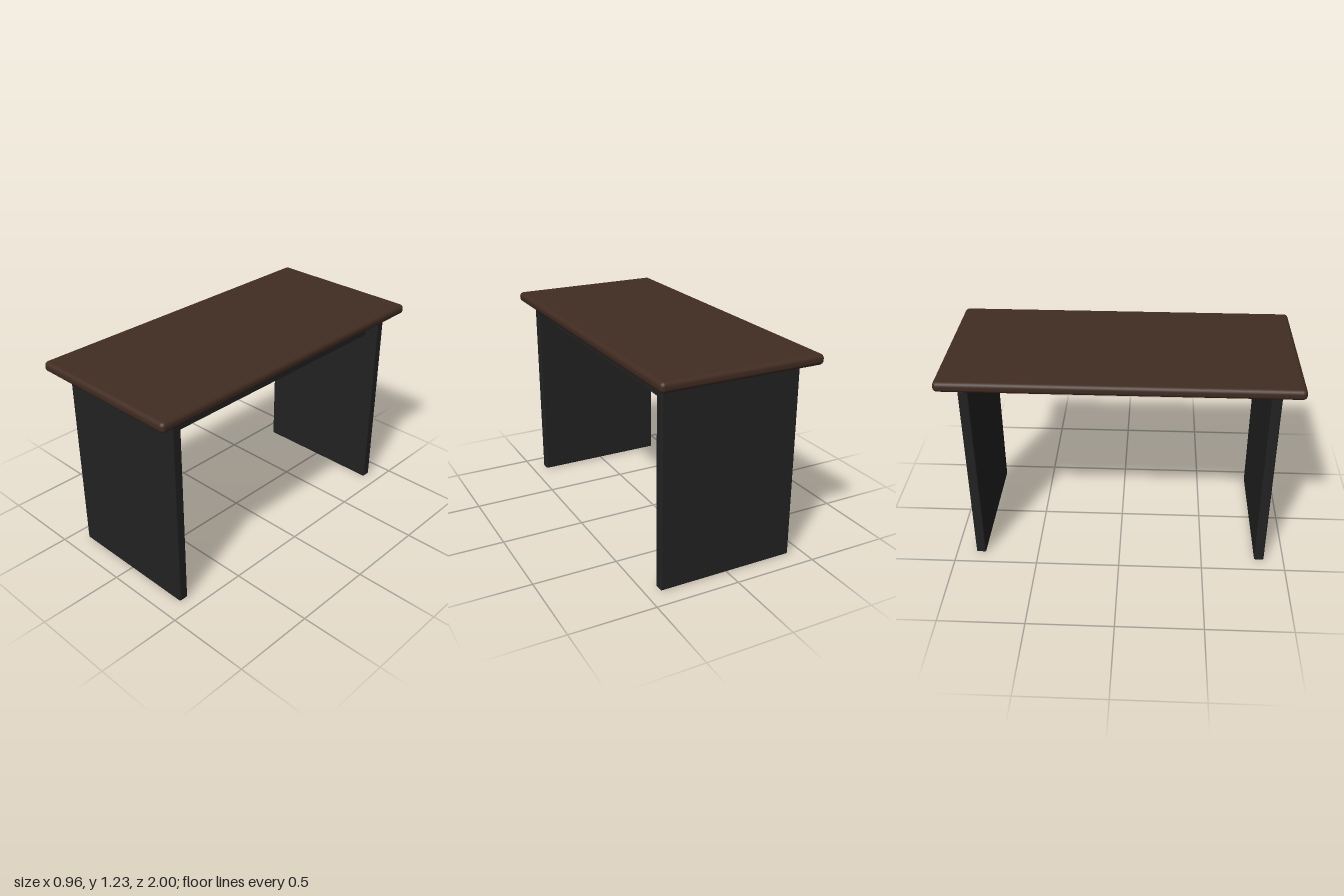
import * as THREE from 'three';
import { RoundedBoxGeometry } from 'three/addons/geometries/RoundedBoxGeometry.js';

export function createModel() {
  const model = new THREE.Group();
  model.name = 'desk';

  const wood = new THREE.MeshStandardMaterial({ color: 0x412c22 });
  wood.name = 'dark brown wood';
  const black = new THREE.MeshStandardMaterial({ color: 0x222222 });
  black.name = 'black panel';

  // Softly rounded board, given its size and centre
  function board(name, [w, h, d], [x, y, z], radius, material) {
    const mesh = new THREE.Mesh(new RoundedBoxGeometry(w, h, d, 4, radius), material);
    mesh.name = name;
    mesh.position.set(x, y, z);
    model.add(mesh);
  }

  // Table top, floating just above the side panels
  board('tableTop', [0.96, 0.06, 2], [0, 1.202, 0], 0.025, wood);

  // Upright panels at both ends
  for (const side of [1, -1]) {
    board(side > 0 ? 'frontPanel' : 'backPanel', [0.828, 1.15, 0.058], [0, 0.575, side * 0.852], 0.009, black);
  }

  // Rail under the top, joining the panels along the +x side
  board('rail', [0.045, 0.096, 1.636], [0.313, 1.087, 0], 0.003, black);

  return model;
}
